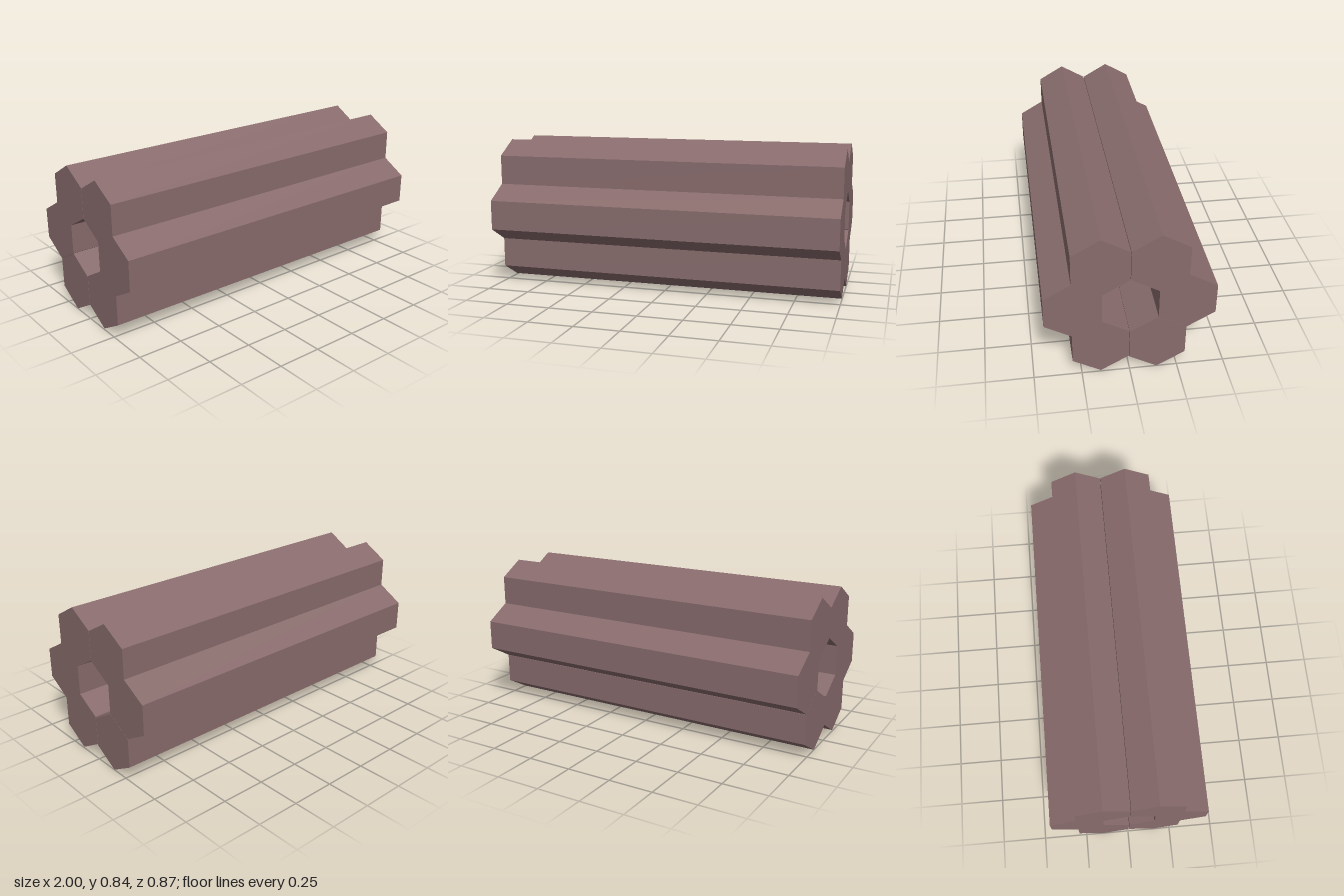
import * as THREE from 'three';

const LENGTH = 2;
const RADIUS = 0.169; // centre to corner of each hexagon

// Hexagonal bar lying along x, with corners pointing up and down
function hexBarGeometry() {
  const corners = Array.from({ length: 6 }, (_, i) => {
    const a = Math.PI / 6 + (i * Math.PI) / 3;
    return new THREE.Vector2(RADIUS * Math.cos(a), RADIUS * Math.sin(a));
  });
  const geometry = new THREE.ExtrudeGeometry(new THREE.Shape(corners), { depth: LENGTH, bevelEnabled: false });
  geometry.translate(0, 0, -LENGTH / 2);
  geometry.rotateY(Math.PI / 2);
  return geometry;
}

export function createModel() {
  const group = new THREE.Group();
  group.name = 'hexBarBundle';
  const brown = new THREE.MeshStandardMaterial({ color: 0x886b6c });
  brown.name = 'dusty brown';
  const geometry = hexBarGeometry();

  // Ring of six bars around an empty hexagonal core: [name, y, z]
  const bars = [
    ['upperFrontBar', 0.676, 0.151],
    ['upperBackBar', 0.676, -0.144],
    ['middleFrontBar', 0.427, 0.291],
    ['middleBackBar', 0.426, -0.29],
    ['lowerFrontBar', 0.177, 0.151],
    ['lowerBackBar', 0.171, -0.144],
  ];
  for (const [name, y, z] of bars) {
    const bar = new THREE.Mesh(geometry, brown);
    bar.name = name;
    bar.position.set(0, y, z);
    group.add(bar);
  }
  return group;
}
